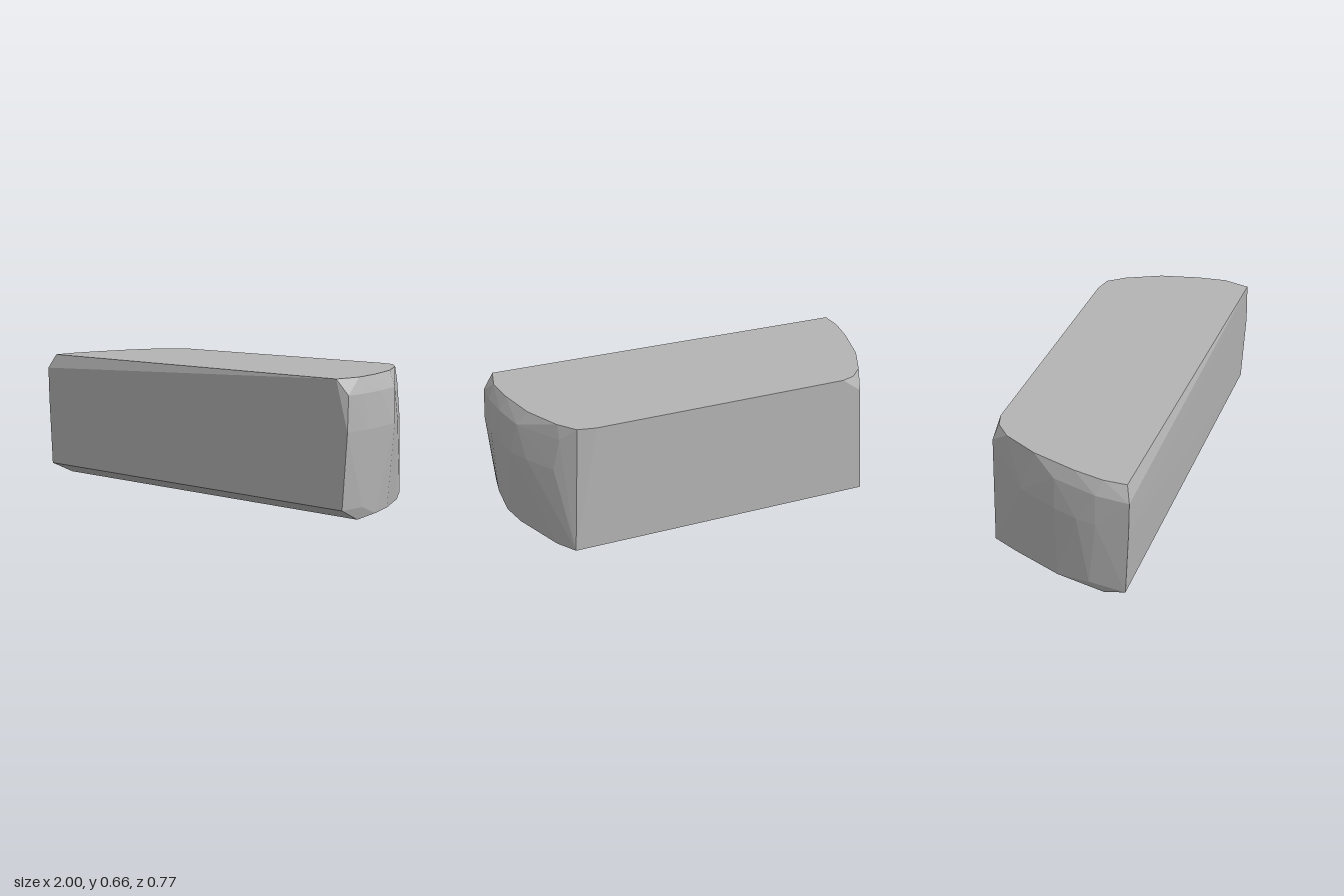
import * as THREE from 'three';
import { ConvexGeometry } from 'three/addons/geometries/ConvexGeometry.js';

export function createModel() {
  const group = new THREE.Group();
  const stone = new THREE.MeshStandardMaterial({ color: 0xb4b4b4 });
  stone.name = 'stoneGrey';
  stone.flatShading = true;

  const points = [];
  // Adds a level of [x, z] corners at one height
  const level = (y, corners) => corners.forEach(([x, z]) => points.push(new THREE.Vector3(x, y, z)));

  // Flat underside, with a bevel up to the front and back faces
  level(0, [[-0.97, 0.25], [-0.84, -0.26], [0.83, -0.27], [0.96, 0.25]]);
  level(0.012, [[-0.8, -0.385], [0.77, -0.385], [-0.94, 0], [0.94, -0.02], [0.97, 0.12]]);
  level(0.06, [[-1, 0.365], [0.96, 0.37], [-0.99, 0.18], [0.98, 0.24]]);

  // Widest part of the rounded ends
  level(0.42, [
    [-1, 0.38], [-1, 0.22], [-0.985, 0.12], [-0.95, 0], [-0.87, -0.2],
    [0.83, -0.28], [0.92, -0.13], [0.97, -0.03], [0.985, 0.08], [1, 0.22], [0.99, 0.377],
  ]);

  // Shoulder under the top bevel
  level(0.585, [
    [-1, 0.383], [-0.995, 0.22], [-0.94, 0], [-0.85, -0.2], [-0.76, -0.384],
    [0.8, -0.3], [0.84, -0.225], [0.94, -0.07], [0.975, 0.1], [0.99, 0.25], [0.985, 0.365],
  ]);

  // Flat top
  level(0.658, [
    [-0.66, -0.383], [-0.73, -0.36], [-0.8, -0.29], [-0.88, -0.12], [-0.94, 0.1], [-0.965, 0.25], [-0.96, 0.36],
    [0.64, -0.383], [0.73, -0.365], [0.8, -0.28], [0.89, -0.1], [0.94, 0.1], [0.96, 0.25], [0.93, 0.385],
  ]);

  const block = new THREE.Mesh(new ConvexGeometry(points), stone);
  block.name = 'stoneBlock';
  group.add(block);
  return group;
}
